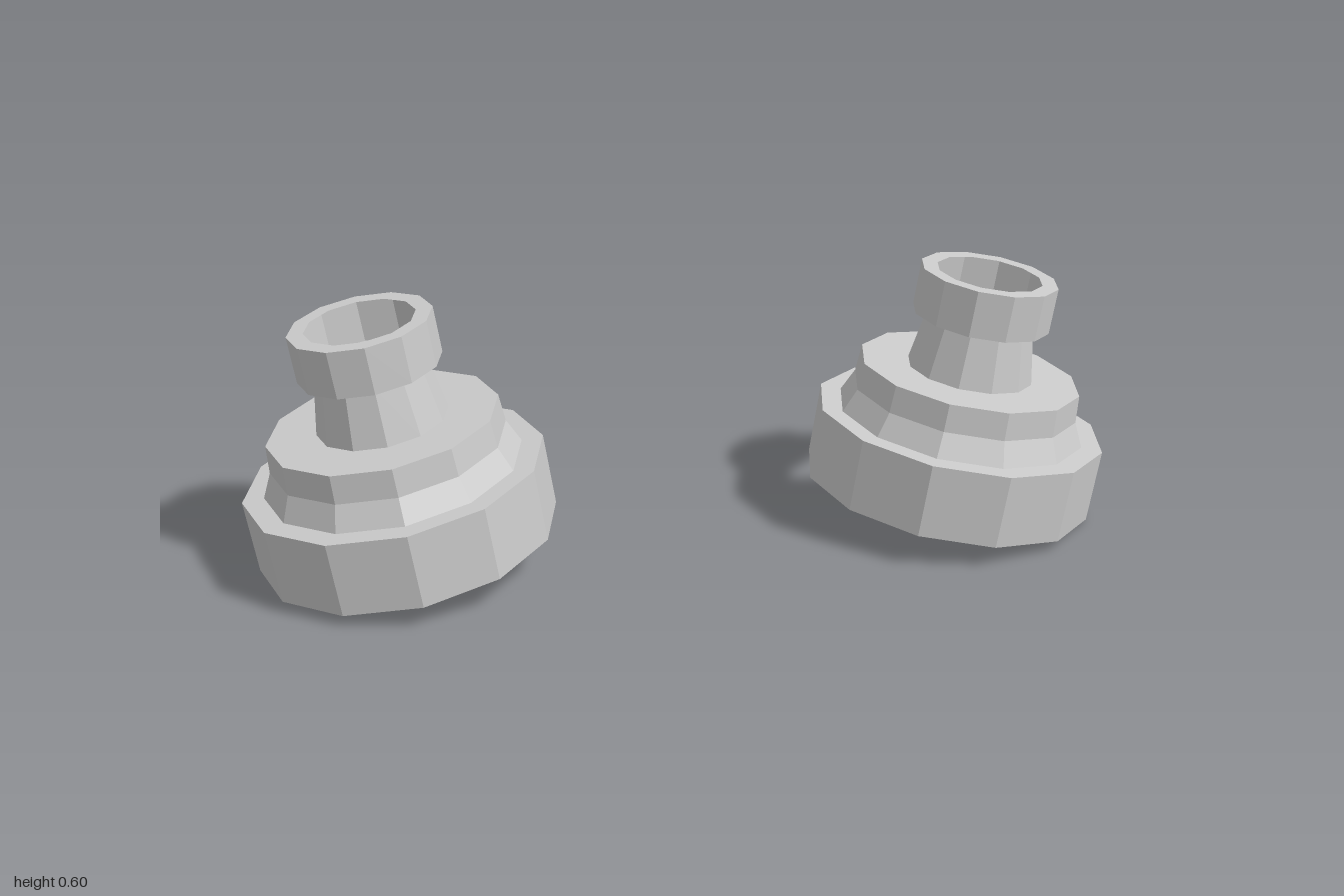
import * as THREE from 'three';

const SIDES = 12;
const TILT = 0.148;

// Shell sections as [radius, height along the axis], from the bottom up
const SECTIONS = {
  baseRing: [[0.34, 0], [0.34, 0.172], [0.291, 0.172]],
  shoulder: [[0.291, 0.172], [0.265, 0.228], [0.26, 0.293], [0.147, 0.293]],
  neck: [[0.147, 0.293], [0.124, 0.423]],
  collar: [[0.124, 0.423], [0.16, 0.423], [0.16, 0.531], [0.123, 0.531]],
};

// One hollow stepped nozzle, open at both ends
function createNozzle(name, material) {
  const nozzle = new THREE.Group();
  nozzle.name = name;
  for (const [part, profile] of Object.entries(SECTIONS)) {
    const points = profile.map(([r, h]) => new THREE.Vector2(r, h));
    const mesh = new THREE.Mesh(new THREE.LatheGeometry(points, SIDES), material);
    mesh.name = part;
    nozzle.add(mesh);
  }
  return nozzle;
}

export function createModel() {
  const model = new THREE.Group();
  model.name = 'nozzlePair';
  const material = new THREE.MeshStandardMaterial({
    color: 0xcccccc, flatShading: true, side: THREE.DoubleSide,
  });

  // Mirrored pair, each leaning outward
  for (const side of [1, -1]) {
    const nozzle = createNozzle(side > 0 ? 'leftNozzle' : 'rightNozzle', material);
    nozzle.position.set(side * 0.638, 0.05, 0);
    nozzle.rotation.z = -side * TILT;
    model.add(nozzle);
  }
  return model;
}
